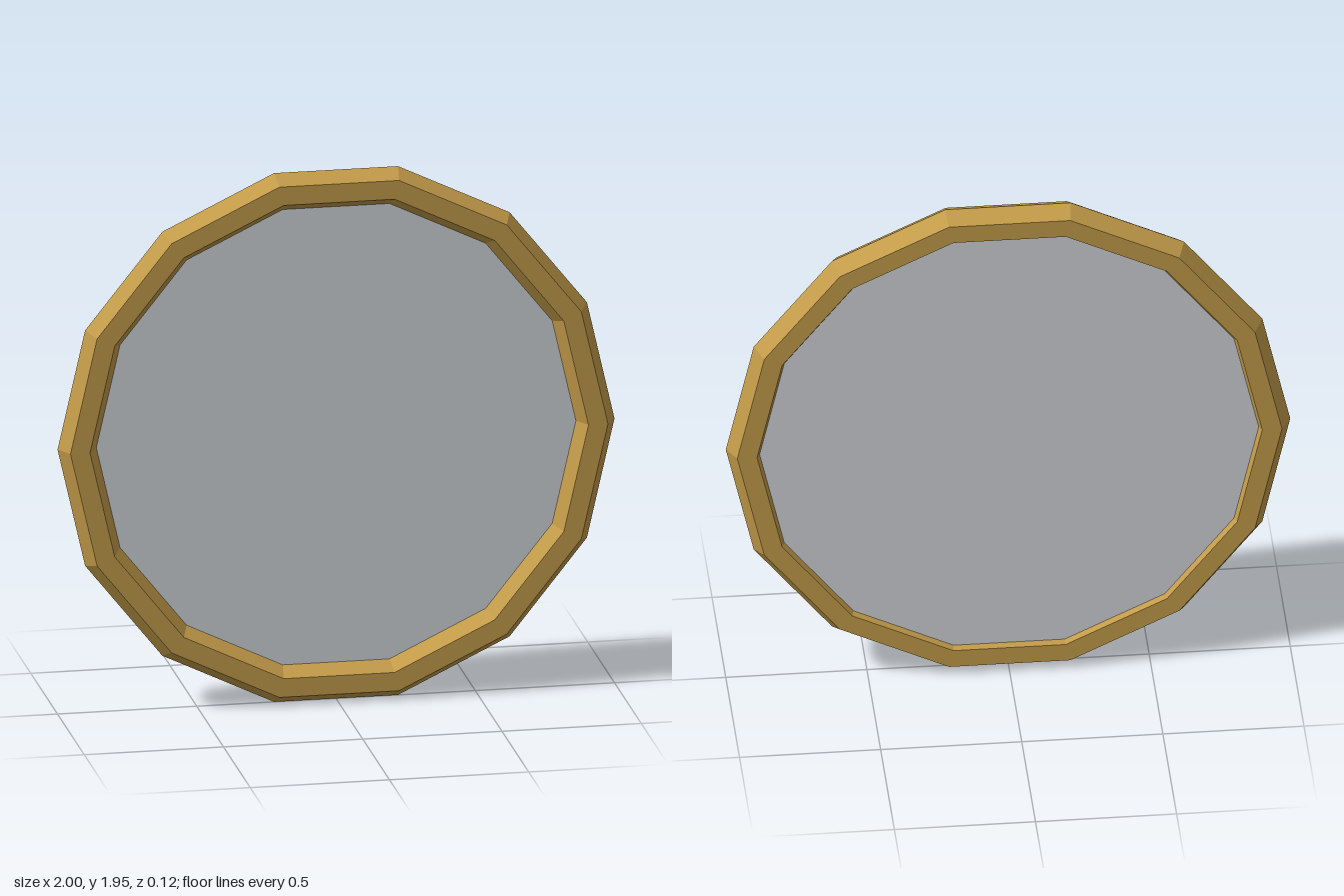
import * as THREE from 'three';

export function createModel() {
  const model = new THREE.Group();
  model.name = 'roundMirror';

  const SIDES = 14;
  const RING = 0.93; // centre line radius of the frame
  const TUBE = 0.07; // radius of its hexagonal section
  const PANE_FRONT = 0.002;
  const PANE_BACK = -0.042;
  const centreY = Math.cos(Math.PI / SIDES); // rests on a flat side

  const gold = new THREE.MeshStandardMaterial({ color: 0xc59d4a, flatShading: true });
  gold.name = 'gold';
  const glass = new THREE.MeshStandardMaterial({ color: 0xd3d7dc, flatShading: true });
  glass.name = 'paleGlass';

  // Fourteen-sided frame with a hexagonal section
  const frame = new THREE.Mesh(new THREE.TorusGeometry(RING, TUBE, 6, SIDES), gold);
  frame.name = 'frame';
  frame.position.y = centreY;

  // Thick pane set towards the back, its rim sunk into the frame
  const paneShape = new THREE.CylinderGeometry(0.885, 0.885, PANE_FRONT - PANE_BACK, SIDES);
  paneShape.rotateY(Math.PI / 2).rotateX(Math.PI / 2); // corners line up with the frame's
  const pane = new THREE.Mesh(paneShape, glass);
  pane.name = 'pane';
  pane.position.set(0, centreY, (PANE_FRONT + PANE_BACK) / 2);

  model.add(frame, pane);
  return model;
}
